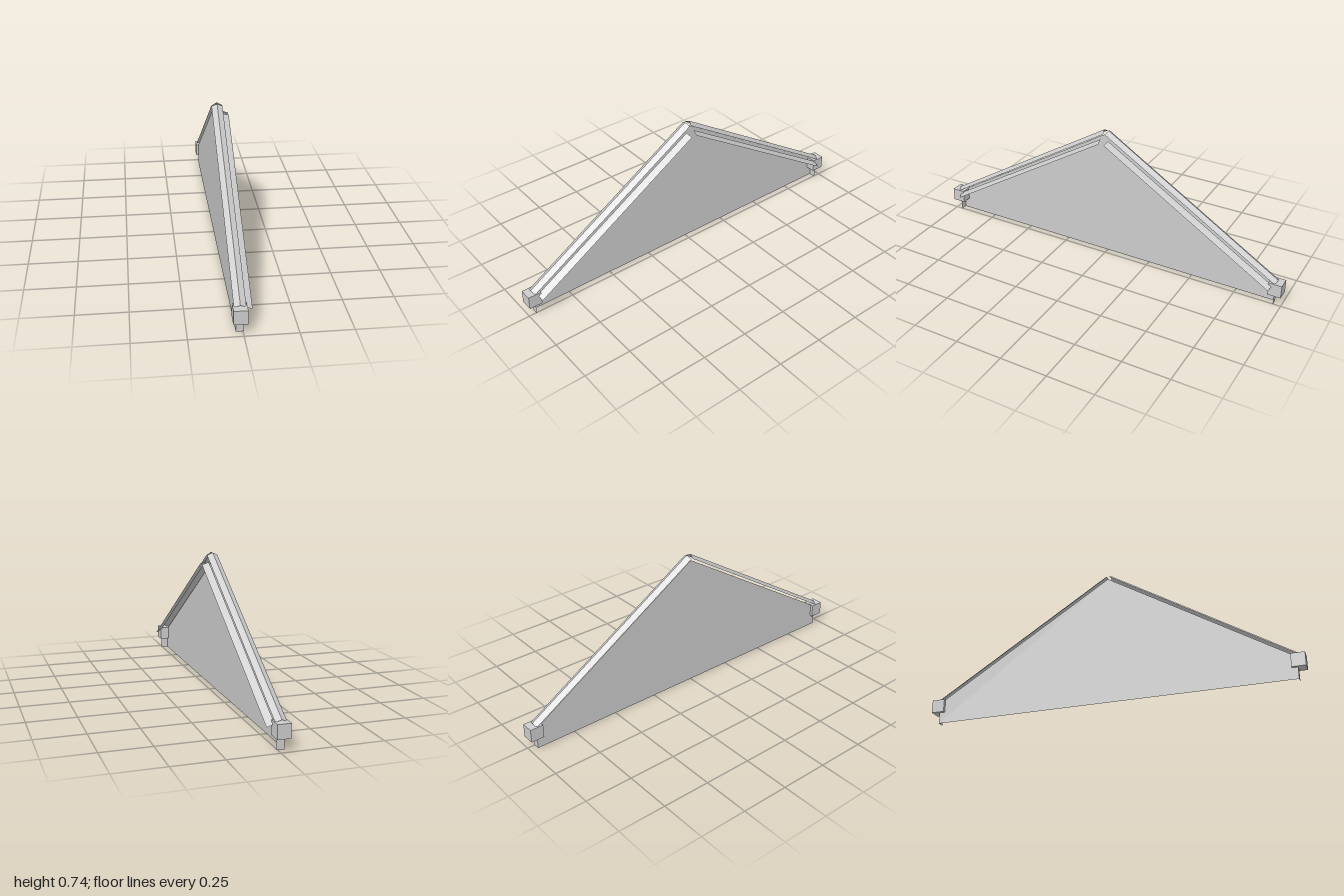
import * as THREE from 'three';

export function createModel() {
  const model = new THREE.Group();
  const grey = new THREE.MeshStandardMaterial({ color: 0xcccccc, side: THREE.DoubleSide });
  grey.name = 'light grey';

  const add = (name, geometry) => {
    const mesh = new THREE.Mesh(geometry, grey);
    mesh.name = name;
    model.add(mesh);
    return mesh;
  };

  // Sheet running between two matching edges; each edge is a list of [x, y, z]
  const strip = (name, low, high, side) => {
    const pos = [];
    const at = (p) => [p[0], p[1], p[2] * side];
    for (let i = 0; i < low.length - 1; i++) {
      const [a, b, c, d] = [low[i], low[i + 1], high[i + 1], high[i]].map(at);
      const tris = side > 0 ? [a, b, c, a, c, d] : [a, c, b, a, d, c];
      pos.push(...tris.flat());
    }
    const g = new THREE.BufferGeometry();
    g.setAttribute('position', new THREE.Float32BufferAttribute(pos, 3));
    g.computeVertexNormals();
    return add(name, g);
  };

  // Gable panel: one thin face on the right-hand plane
  const gable = new THREE.Shape();
  gable.moveTo(-0.96, 0);
  gable.lineTo(0.96, 0);
  gable.lineTo(0.96, 0.115);
  gable.lineTo(0, 0.71);
  gable.lineTo(-0.96, 0.115);
  const panel = add('gablePanel', new THREE.ShapeGeometry(gable));
  panel.rotation.y = -Math.PI / 2;
  panel.position.x = -0.032;

  for (const side of [1, -1]) {
    const label = side > 0 ? 'front' : 'back';

    // Short return closing the end of the panel
    strip(label + 'EndReturn',
      [[-0.032, 0, 0.96], [0.005, 0, 0.96]],
      [[-0.032, 0.115, 0.96], [0.005, 0.115, 0.96]], side);

    // Block at the foot of the slope
    const block = add(label + 'EaveBlock', new THREE.BoxGeometry(0.065, 0.07, 0.07));
    block.position.set(-0.0145, 0.096, 0.965 * side);

    // Folded cap along the slope
    strip(label + 'RakeCap',
      [[-0.042, 0.127, 0.962], [-0.014, 0.14, 0.97], [0.014, 0.127, 0.962]],
      [[-0.042, 0.721, 0.004], [-0.014, 0.735, 0.012], [0.014, 0.721, 0.004]], side);

    // Tilted flashing beside the cap
    strip(label + 'Flashing',
      [[0.01, 0.116, 0.948], [0.045, 0.101, 0.94]],
      [[0.01, 0.687, 0.022], [0.045, 0.675, 0.015]], side);
  }

  return model;
}
